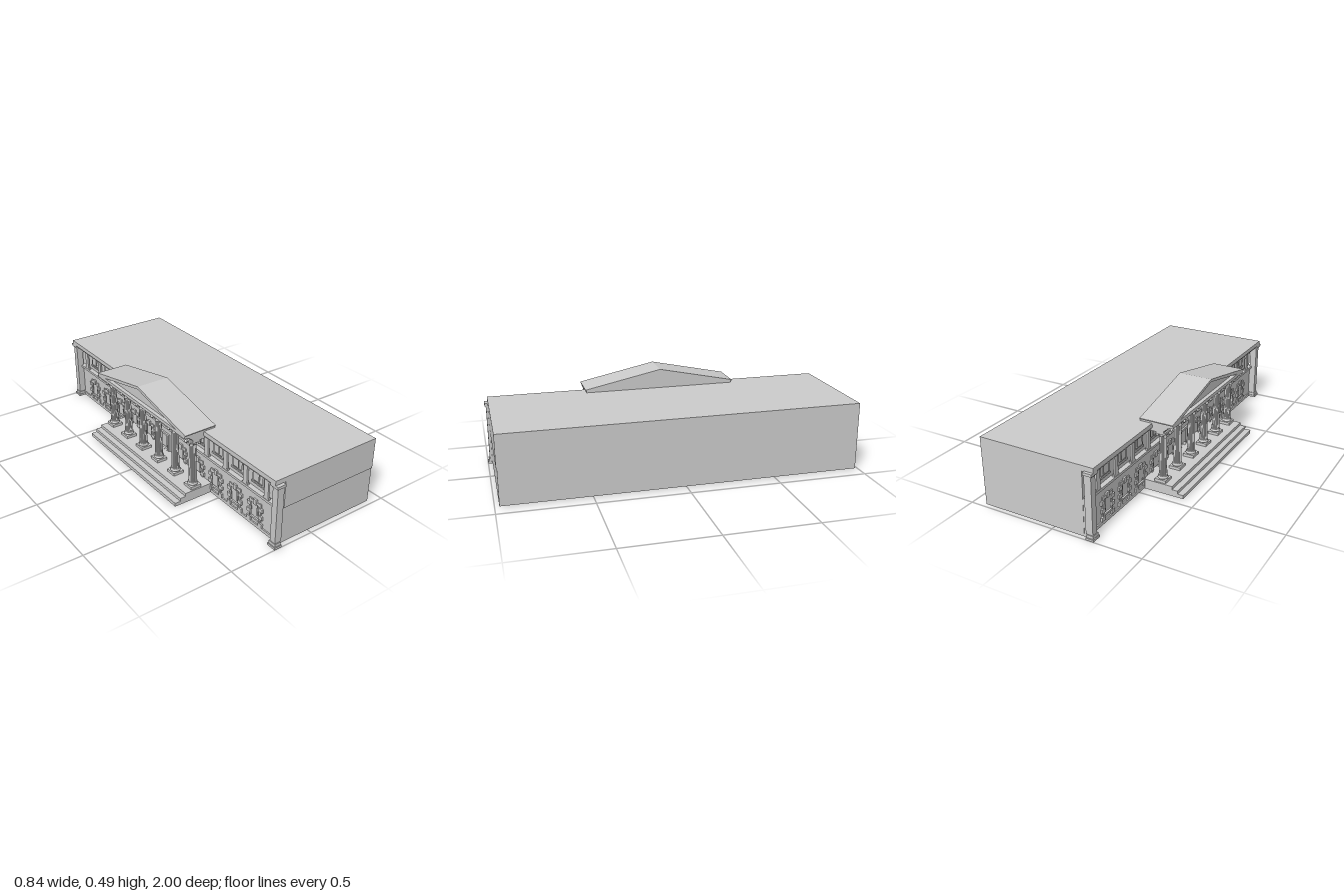
import * as THREE from 'three';

const mat = new THREE.MeshStandardMaterial({ color: 0xcccccc, flatShading: true });
const smooth = new THREE.MeshStandardMaterial({ color: 0xcccccc });
const BAY = 0.16;
const PORTICO_Z = -0.008;

function add(parent, name, geometry, material = mat) {
  const mesh = new THREE.Mesh(geometry, material);
  mesh.name = name;
  parent.add(mesh);
  return mesh;
}

// Box given by its limits on each axis
function box(parent, name, x0, x1, y0, y1, z0, z1) {
  const mesh = add(parent, name, new THREE.BoxGeometry(x1 - x0, y1 - y0, z1 - z0));
  mesh.position.set((x0 + x1) / 2, (y0 + y1) / 2, (z0 + z1) / 2);
  return mesh;
}

function group(parent, name) {
  const g = new THREE.Group();
  g.name = name;
  parent.add(g);
  return g;
}

// Outline in (z, y), extruded along x from x0 to x1
function extrudeX(parent, name, points, x0, x1, holes = []) {
  const flip = ([z, y]) => new THREE.Vector2(-z, y);
  const shape = new THREE.Shape(points.map(flip));
  holes.forEach(h => shape.holes.push(new THREE.Path(h.map(flip))));
  const geo = new THREE.ExtrudeGeometry(shape, { depth: x1 - x0, bevelEnabled: false });
  geo.rotateY(Math.PI / 2);
  geo.translate(x0, 0, 0);
  return add(parent, name, geo);
}

const rect = (z0, z1, y0, y1) => [[z0, y0], [z1, y0], [z1, y1], [z0, y1]];

// Ground-floor window: alternating blocks, lintel and sill round the opening
function lowerWindow(parent, z) {
  const g = group(parent, 'lowerWindow');
  for (const s of [-1, 1]) {
    for (let i = 0; i < 6; i++) {
      const w = i % 2 ? 0.014 : 0.028, y = 0.022 + i * 0.022;
      const a = z + s * 0.03, b = z + s * (0.03 + w);
      box(g, 'surroundBlock', -0.2 + (i % 2) * 0.004, -0.19, y, y + 0.021, Math.min(a, b), Math.max(a, b));
    }
  }
  box(g, 'keystone', -0.2, -0.19, 0.132, 0.162, z - 0.012, z + 0.012);
  box(g, 'lintel', -0.196, -0.19, 0.134, 0.15, z - 0.045, z + 0.045);
  box(g, 'sill', -0.2, -0.19, 0.045, 0.055, z - 0.035, z + 0.035);
  box(g, 'glazingBar', -0.182, -0.175, 0.055, 0.134, z - 0.002, z + 0.002);
}

// Upper window: raised frame on the recessed wall
function upperWindow(parent, z) {
  const g = group(parent, 'upperWindow');
  extrudeX(g, 'frame', rect(z - 0.043, z + 0.043, 0.245, 0.32), -0.183, -0.174,
    [rect(z - 0.032, z + 0.032, 0.255, 0.31)]);
  box(g, 'hood', -0.188, -0.174, 0.314, 0.322, z - 0.048, z + 0.048);
  box(g, 'sill', -0.188, -0.174, 0.242, 0.249, z - 0.048, z + 0.048);
  box(g, 'glazingBar', -0.179, -0.174, 0.255, 0.31, z - 0.002, z + 0.002);
}

// Slender square pillar standing in front of the upper wall
function pillar(parent, z) {
  const g = group(parent, 'upperPillar');
  box(g, 'base', -0.2, -0.186, 0.21, 0.222, z - 0.02, z + 0.02);
  box(g, 'shaft', -0.2, -0.19, 0.222, 0.335, z - 0.015, z + 0.015);
  box(g, 'cap', -0.203, -0.181, 0.335, 0.35, z - 0.02, z + 0.02);
}

// Tall pier at each front corner
function cornerPier(parent, s) {
  const g = group(parent, 'cornerPier');
  const piece = (name, x0, x1, y0, y1, zi, zo) =>
    box(g, name, x0, x1, y0, y1, Math.min(s * zi, s * zo), Math.max(s * zi, s * zo));
  piece('plinth', -0.238, -0.193, 0, 0.012, 0.945, 1);
  piece('base', -0.233, -0.197, 0.012, 0.028, 0.949, 0.995);
  piece('shaft', -0.229, -0.19, 0.028, 0.345, 0.953, 0.99);
  piece('collar', -0.232, -0.194, 0.337, 0.345, 0.95, 0.993);
  piece('cap', -0.238, -0.188, 0.345, 0.36, 0.945, 0.998);
}

// Fluted column with moulded base and scrolled capital
function column(parent, z) {
  const g = group(parent, 'column');
  g.position.set(-0.284, 0, z);
  box(g, 'plinth', -0.032, 0.032, 0.055, 0.071, -0.032, 0.032);
  const profile = [[0, 0.071], [0.026, 0.071], [0.028, 0.075], [0.027, 0.08], [0.024, 0.082],
    [0.026, 0.086], [0.024, 0.09], [0, 0.09]].map(p => new THREE.Vector2(...p));
  add(g, 'baseMoulding', new THREE.LatheGeometry(profile, 24), smooth);

  const shaft = new THREE.CylinderGeometry(0.0185, 0.0225, 0.23, 40, 1, true);
  const p = shaft.attributes.position;
  for (let i = 0; i < p.count; i++) {
    const k = (i % 41) % 2 ? 0.94 : 1;
    p.setX(i, p.getX(i) * k);
    p.setZ(i, p.getZ(i) * k);
  }
  add(g, 'shaft', shaft).position.y = 0.204;

  const bell = [[0, 0.315], [0.02, 0.315], [0.022, 0.32], [0.025, 0.334], [0, 0.334]];
  add(g, 'capitalBell', new THREE.LatheGeometry(bell.map(q => new THREE.Vector2(...q)), 24), smooth);
  for (const sx of [-1, 1]) for (const sz of [-1, 1]) {
    const scroll = add(g, 'scroll', new THREE.CylinderGeometry(0.0095, 0.0095, 0.012, 14), smooth);
    scroll.rotation.set(Math.PI / 2, 0, sx * sz * Math.PI / 4, 'YXZ');
    scroll.rotation.y = sx * sz * Math.PI / 4;
    scroll.rotation.z = 0;
    scroll.position.set(sx * 0.024, 0.325, sz * 0.024);
  }
  box(g, 'abacus', -0.026, 0.026, 0.332, 0.342, -0.03, 0.03);
}

export function createModel() {
  const model = new THREE.Group();
  model.name = 'colonnadedBuilding';

  // Main block
  box(model, 'lowerFloor', -0.175, 0.42, 0.004, 0.21, -0.982, 0.976);
  box(model, 'upperFloor', -0.175, 0.42, 0.21, 0.36, -0.982, 0.98);
  box(model, 'roof', -0.238, 0.42, 0.36, 0.385, -0.982, 0.98);
  box(model, 'architrave', -0.23, -0.175, 0.348, 0.36, -0.98, 0.978);
  box(model, 'stringCourse', -0.202, -0.175, 0.198, 0.212, -0.98, 0.976);
  box(model, 'wallFoot', -0.197, -0.175, 0.002, 0.02, -0.98, 0.976);

  // Facade bays
  const facade = group(model, 'facade');
  const bays = [];
  for (let i = -5; i <= 5; i++) bays.push(i * BAY + PORTICO_Z / 2);
  const holes = bays.map(z => Math.abs(z) < 0.05
    ? rect(z - 0.032, z + 0.032, 0.056, 0.15)
    : rect(z - 0.03, z + 0.03, 0.055, 0.134));
  extrudeX(facade, 'lowerWall', rect(-0.98, 0.976, 0.004, 0.2), -0.19, -0.175, holes);
  bays.forEach(z => {
    upperWindow(facade, z);
    if (Math.abs(z) > 0.05) lowerWindow(facade, z);
    pillar(facade, z - BAY / 2);
  });
  pillar(facade, bays[10] + BAY / 2);
  for (const s of [-1, 1]) cornerPier(model, s);

  // Entrance door surround
  const door = group(model, 'entranceDoor');
  const dz = bays[5];
  extrudeX(door, 'doorFrame', rect(dz - 0.045, dz + 0.045, 0.055, 0.162), -0.2, -0.188,
    [rect(dz - 0.032, dz + 0.032, 0.056, 0.15)]);
  box(door, 'doorJoint', -0.182, -0.174, 0.056, 0.15, dz - 0.002, dz + 0.002);

  // Portico: steps, columns, stepped entablature and pediment
  const portico = group(model, 'portico');
  portico.position.z = PORTICO_Z;
  [[-0.424, 0, 0.02], [-0.391, 0.02, 0.037], [-0.358, 0.037, 0.055]].forEach(([x, y0, y1]) =>
    box(portico, 'step', x, -0.18, y0, y1, -0.44, 0.44));
  for (let i = 0; i < 6; i++) column(portico, (i - 2.5) * BAY);

  [[-0.302, 0.342, 0.354, 0.43], [-0.31, 0.354, 0.362, 0.43], [-0.322, 0.362, 0.374, 0.43],
    [-0.336, 0.374, 0.379, 0.432], [-0.357, 0.379, 0.398, 0.434]].forEach(([x, y0, y1, z]) =>
    box(portico, 'entablature', x, y1 > 0.38 ? -0.168 : -0.19, y0, y1, -z, z));

  extrudeX(portico, 'pedimentWall', [[-0.43, 0.396], [0.43, 0.396], [0, 0.486]], -0.335, -0.168);
  extrudeX(portico, 'pedimentRoof', [[-0.44, 0.396], [-0.37, 0.396], [0, 0.478], [0.37, 0.396],
    [0.44, 0.396], [0.44, 0.401], [0, 0.494], [-0.44, 0.401]], -0.358, -0.168);
  return model;
}
